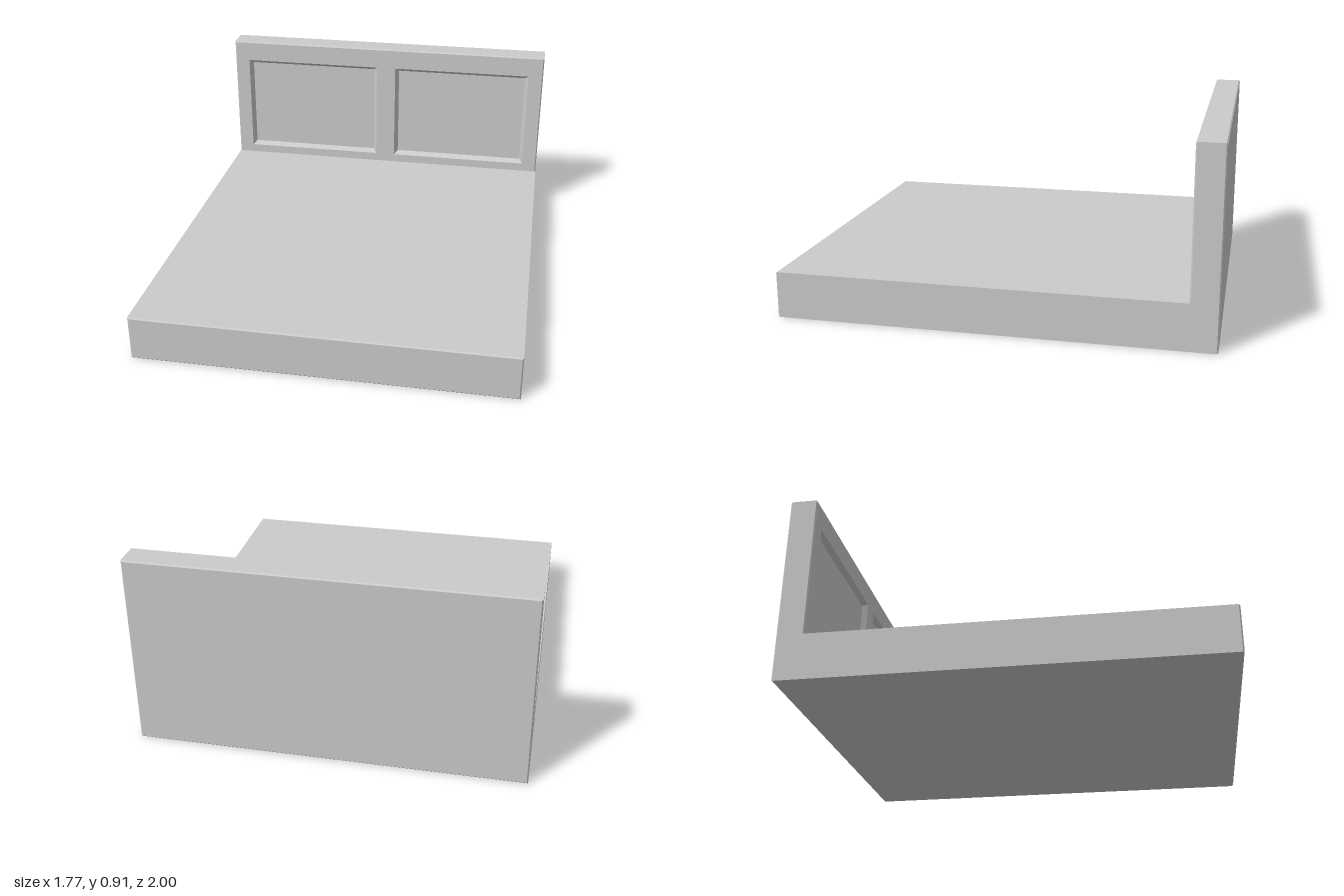
import * as THREE from 'three';

const W = 0.885, BEVEL = 0.006;
const BASE_TOP = 0.217, HEAD_TOP = 0.907, HEAD_FRONT = -0.872;

// Rectangle loop at depth z, anticlockwise seen from the front
function rect(x0, x1, y0, y1, z, inset = 0) {
  const l = x0 + inset, r = x1 - inset, b = y0 + inset, t = y1 - inset;
  return [[l, b, z], [r, b, z], [r, t, z], [l, t, z]];
}

// Joins rectangle loops with flat faces; the caps close the first loop to -z and the last to +z
function loft(loops, backCap, frontCap) {
  const pos = [];
  const quad = (a, b, c, d) => pos.push(...a, ...b, ...c, ...a, ...c, ...d);
  for (let k = 0; k + 1 < loops.length; k++) {
    for (let i = 0; i < 4; i++) {
      const j = (i + 1) % 4;
      quad(loops[k][i], loops[k][j], loops[k + 1][j], loops[k + 1][i]);
    }
  }
  if (backCap) quad(...[...loops[0]].reverse());
  if (frontCap) quad(...loops[loops.length - 1]);
  const geo = new THREE.BufferGeometry();
  geo.setAttribute('position', new THREE.Float32BufferAttribute(pos, 3));
  geo.computeVertexNormals();
  return geo;
}

export function createModel() {
  const group = new THREE.Group();
  const material = new THREE.MeshStandardMaterial({ color: 0xcccccc, flatShading: true });
  const add = (name, geo, parent = group) => {
    const mesh = new THREE.Mesh(geo, material);
    mesh.name = name;
    parent.add(mesh);
    return mesh;
  };

  // Low bed platform with a chamfered foot end
  const base = (z, inset) => rect(-W, W, 0, BASE_TOP, z, inset);
  add('bedBase', loft([base(HEAD_FRONT - BEVEL), base(1 - BEVEL), base(1, BEVEL)], false, true));

  // Headboard slab, chamfered around its back and front faces
  const headboard = new THREE.Group();
  headboard.name = 'headboard';
  group.add(headboard);
  const head = (z, inset) => rect(-W, W, 0, HEAD_TOP, z, inset);
  add('headboardSlab', loft([
    head(-1, BEVEL), head(-1 + BEVEL), head(HEAD_FRONT - BEVEL), head(HEAD_FRONT, BEVEL),
  ], true, false), headboard);

  // Front face of the headboard with two panel openings
  const toPoints = (loop) => loop.map(([x, y]) => new THREE.Vector2(x, y));
  const face = new THREE.Shape(toPoints(head(0, BEVEL)));

  // Recessed panels with sloping borders
  for (const [name, x0, x1] of [['leftPanel', 0.053, 0.805], ['rightPanel', -0.805, -0.053]]) {
    const opening = rect(x0, x1, 0.262, 0.797, HEAD_FRONT);
    const floor = rect(x0, x1, 0.262, 0.797, HEAD_FRONT - 0.025, 0.019);
    face.holes.push(new THREE.Path(toPoints(opening).reverse()));
    add(name, loft([opening, floor], false, true), headboard);
  }
  add('headboardFrame', new THREE.ShapeGeometry(face), headboard).position.z = HEAD_FRONT;

  return group;
}
